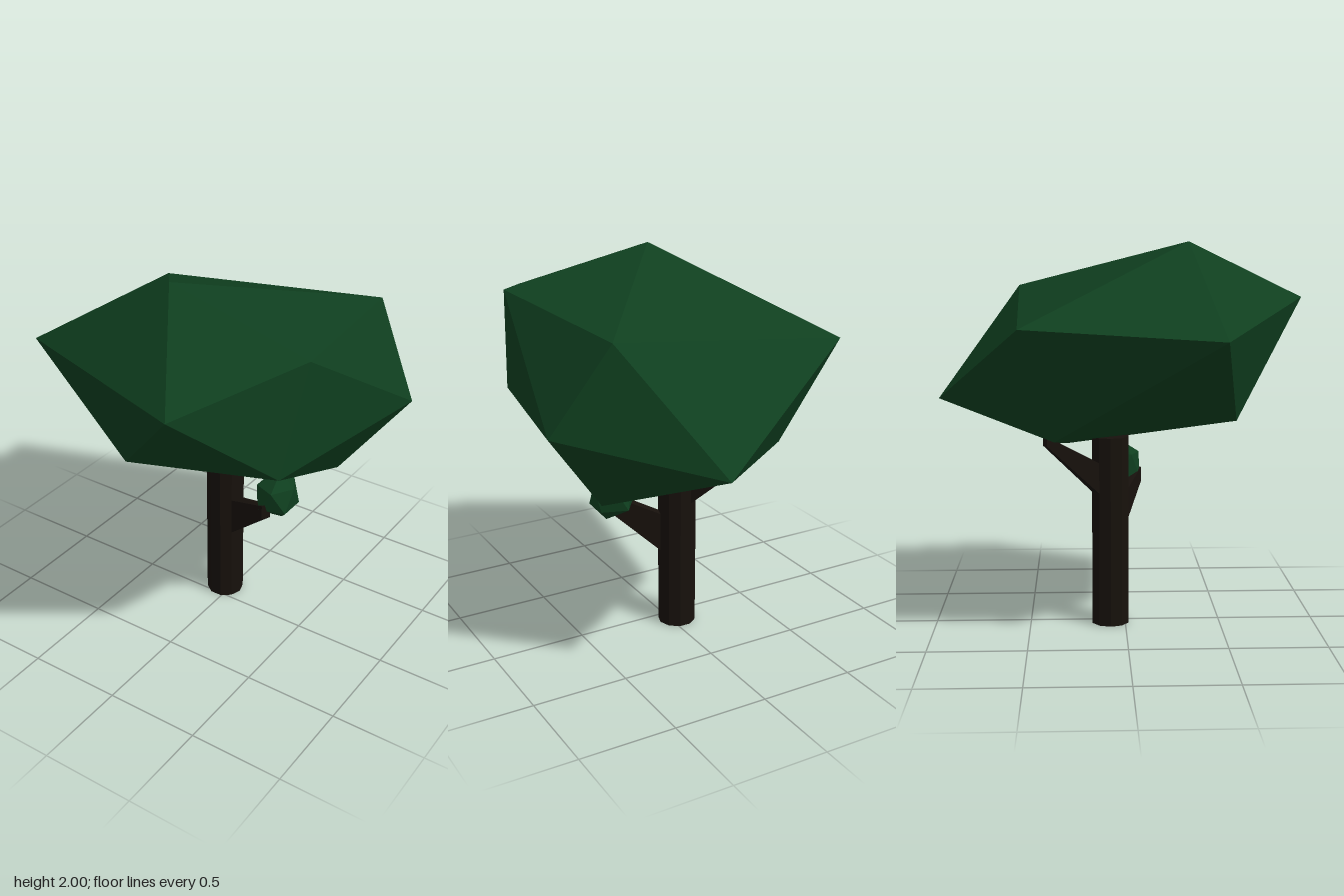
import * as THREE from 'three';
import { ConvexGeometry } from 'three/addons/geometries/ConvexGeometry.js';

const leaf = new THREE.MeshStandardMaterial({ color: 0x0f3f1f, flatShading: true });
const bark = new THREE.MeshStandardMaterial({ color: 0x17110c, flatShading: true });

// Twenty-sided solid: two tips and two rings of five; lower[i] sits between upper[i] and upper[i + 1]
function foliage(name, top, upper, lower, bottom) {
  const positions = [];
  for (let i = 0; i < 5; i++) {
    const j = (i + 1) % 5;
    positions.push(
      ...top, ...upper[i], ...upper[j],
      ...upper[i], ...lower[i], ...upper[j],
      ...upper[j], ...lower[i], ...lower[j],
      ...bottom, ...lower[j], ...lower[i],
    );
  }
  const geometry = new THREE.BufferGeometry();
  geometry.setAttribute('position', new THREE.Float32BufferAttribute(positions, 3));
  geometry.computeVertexNormals();
  const mesh = new THREE.Mesh(geometry, leaf);
  mesh.name = name;
  return mesh;
}

// Tapered four-sided branch; each end is a pair of [x, z] points spanning a height range
function branch(name, base, baseY, tip, tipY) {
  const points = [];
  for (const [pair, heights] of [[base, baseY], [tip, tipY]])
    for (const [x, z] of pair)
      for (const y of heights) points.push(new THREE.Vector3(x, y, z));
  const mesh = new THREE.Mesh(new ConvexGeometry(points), bark);
  mesh.name = name;
  return mesh;
}

// Five points around a vertical axis, counterclockwise from above
function ring(x, y, z, rx, rz, turn) {
  return Array.from({ length: 5 }, (_, i) => {
    const a = turn + (i * Math.PI * 2) / 5;
    return [x + rx * Math.cos(a), y, z - rz * Math.sin(a)];
  });
}

export function createModel() {
  const tree = new THREE.Group();
  tree.name = 'tree';

  // Ten-sided trunk with a corner on each side
  const cx = -0.037, cz = -0.078, radius = 0.1;
  const trunk = new THREE.Mesh(
    new THREE.CylinderGeometry(radius, radius, 1, 10, 1, false, Math.PI / 2), bark);
  trunk.position.set(cx, 0.5, cz);
  trunk.name = 'trunk';
  tree.add(trunk);

  // Branches grow out of single trunk faces
  const corner = (degrees) => {
    const a = THREE.MathUtils.degToRad(degrees);
    return [cx + radius * Math.cos(a), cz + radius * Math.sin(a)];
  };
  tree.add(branch('lowerBranch', [corner(0), corner(36)], [0.43, 0.64],
    [[0.335, 0.06], [0.31, 0.1]], [0.69, 0.77]));
  tree.add(branch('upperBranch', [corner(216), corner(252)], [0.71, 0.87],
    [[-0.3, -0.4], [-0.27, -0.42]], [0.99, 1.04]));

  // Large lopsided canopy
  tree.add(foliage('canopy', [-0.085, 2, 0.32],
    [[-0.85, 1.55, 0.44], [0.37, 1.7, 0.98], [0.71, 1.83, 0.36], [0.58, 1.76, -0.57], [-0.72, 1.6, -0.52]],
    [[-0.2, 1.1, 0.56], [0.655, 1.27, 0.51], [0.85, 1.31, -0.44], [0.21, 1.17, -0.99], [-0.48, 1.04, -0.36]],
    [0.52, 0.87, -0.31]));

  // Small leaf clump at the end of the lower branch
  tree.add(foliage('leafClump', [0.34, 0.925, -0.025],
    ring(0.325, 0.85, -0.025, 0.1, 0.12, 0),
    ring(0.32, 0.73, -0.025, 0.12, 0.12, Math.PI / 5),
    [0.355, 0.655, -0.025]));

  return tree;
}
